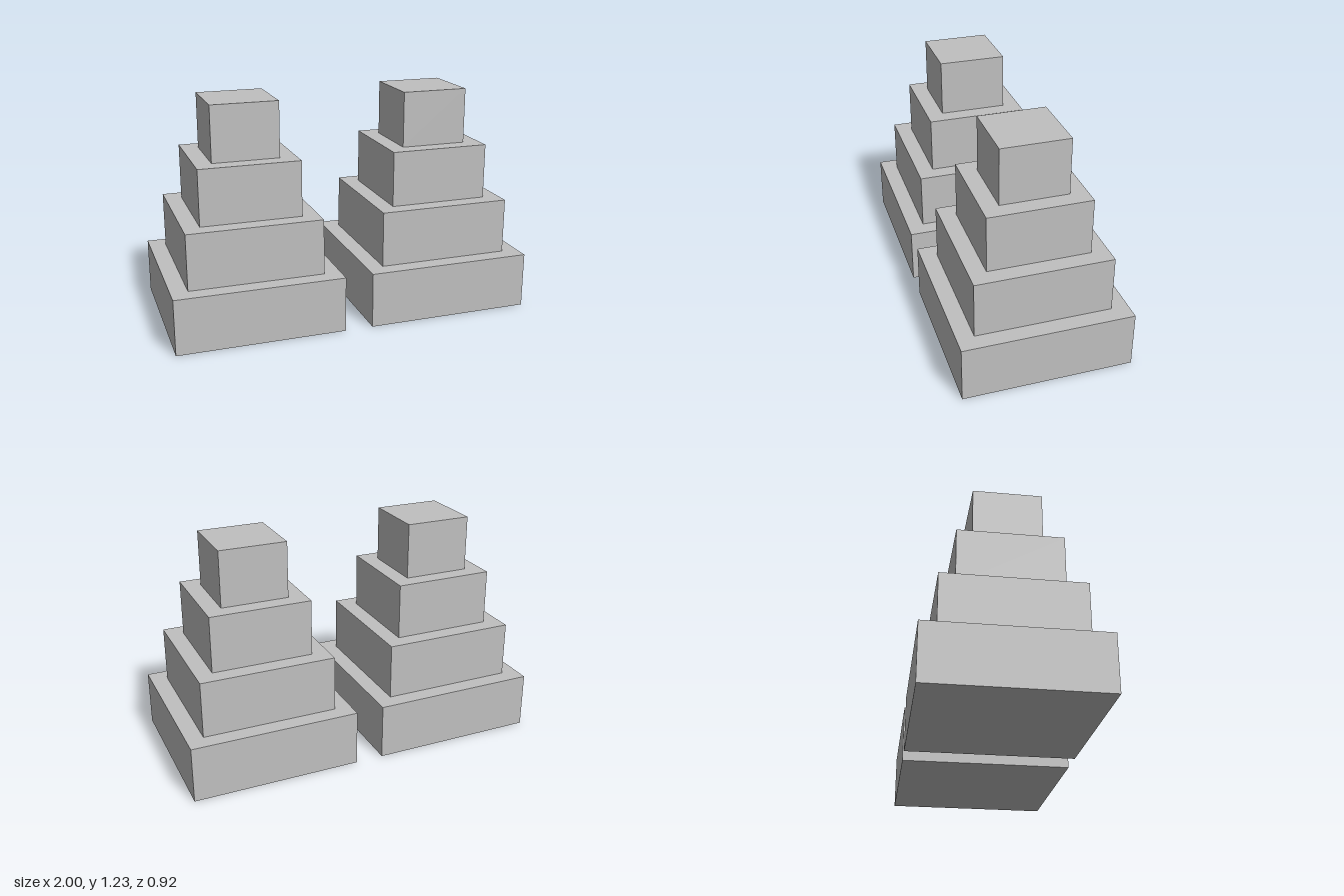
import * as THREE from 'three';

const TIER_WIDTHS = [0.923, 0.738, 0.554, 0.369];
const TIER_HEIGHT = 0.308;
const TOWER_X = 0.5385;

// One stepped tower of square tiers, standing on y = 0
function createTower(name, material) {
  const tower = new THREE.Group();
  tower.name = name;
  TIER_WIDTHS.forEach((width, i) => {
    const tier = new THREE.Mesh(new THREE.BoxGeometry(width, TIER_HEIGHT, width), material);
    tier.name = `tier${i + 1}`;
    tier.position.y = (i + 0.5) * TIER_HEIGHT;
    tower.add(tier);
  });
  return tower;
}

export function createModel() {
  const stone = new THREE.MeshStandardMaterial({ color: 0xc0c0c0 });
  stone.name = 'light grey';

  const model = new THREE.Group();
  model.name = 'steppedTowers';

  // Matching pair, side by side
  for (const [name, side] of [['leftTower', 1], ['rightTower', -1]]) {
    const tower = createTower(name, stone);
    tower.position.x = side * TOWER_X;
    model.add(tower);
  }
  return model;
}
